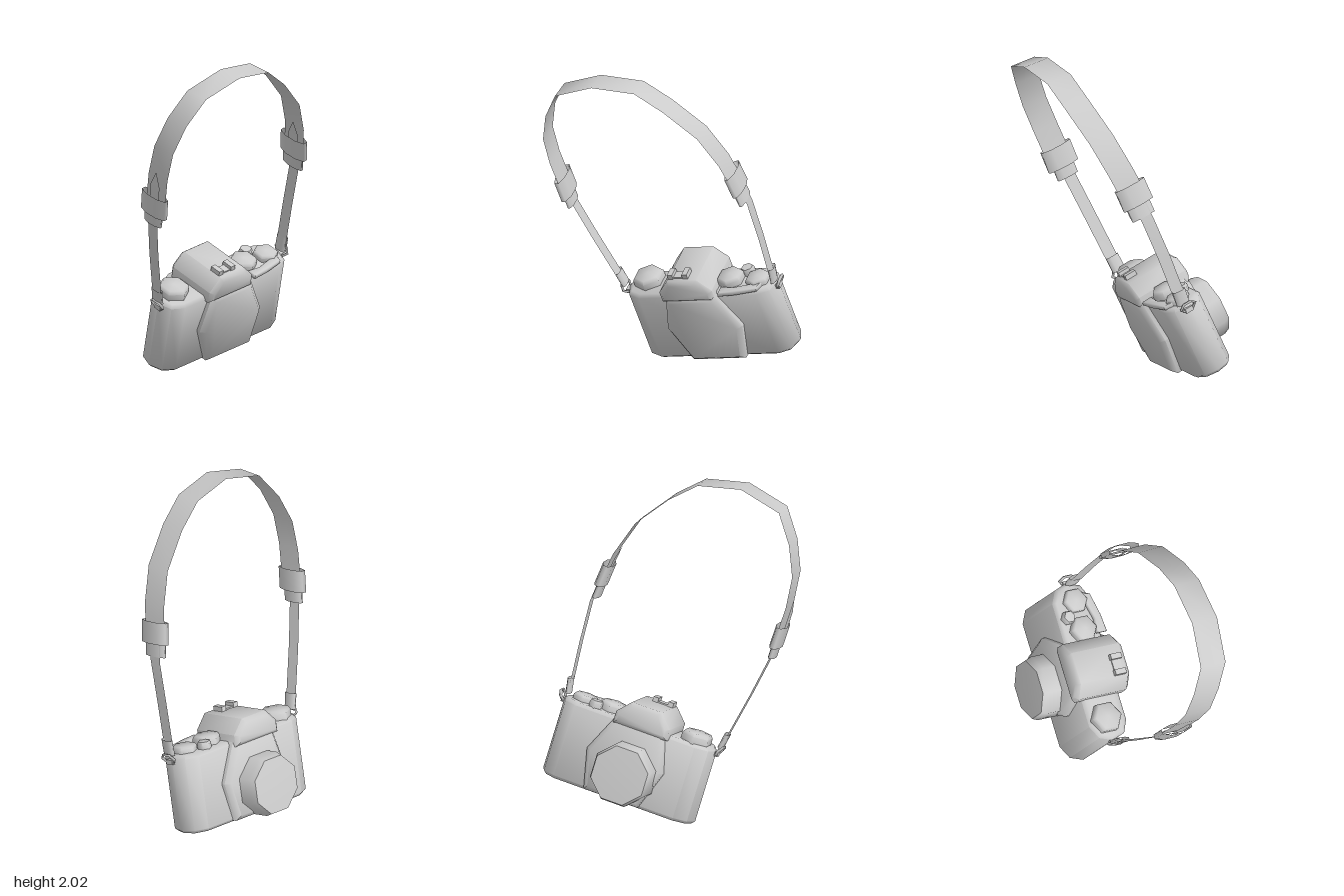
import * as THREE from 'three';
import { toCreasedNormals } from 'three/addons/utils/BufferGeometryUtils.js';

const grey = new THREE.MeshStandardMaterial({ color: 0xcccccc });
const thin = new THREE.MeshStandardMaterial({ color: 0xcccccc, side: THREE.DoubleSide });
const V = (x, y, z) => new THREE.Vector3(x, y, z);
const ACROSS = V(0.95, -0.2, 0.25).normalize(); // width direction of the strap

function add(parent, name, geometry, x = 0, y = 0, z = 0, material = grey) {
  const mesh = new THREE.Mesh(geometry, material);
  mesh.name = name;
  mesh.position.set(x, y, z);
  parent.add(mesh);
  return mesh;
}

// Bevelled prism from a 2D outline
function prism(points, depth, bevel, crease = 0.9) {
  const shape = new THREE.Shape(points.map(([x, y]) => new THREE.Vector2(x, y)));
  const geo = new THREE.ExtrudeGeometry(shape, {
    depth: depth - 2 * bevel, bevelEnabled: true, bevelSegments: 1,
    bevelSize: bevel, bevelThickness: bevel, bevelOffset: -bevel,
  });
  geo.translate(0, 0, bevel);
  return toCreasedNormals(geo, crease);
}

function lathe(profile, sides) {
  return toCreasedNormals(
    new THREE.LatheGeometry(profile.map(([r, h]) => new THREE.Vector2(r, h)), sides), 1.05);
}

// Flat band along a path; each row is x, y, z, width
function ribbon(rows) {
  const pos = [], index = [];
  rows.forEach(([x, y, z, w], i) => {
    for (const s of [-0.5, 0.5]) pos.push(...V(x, y, z).addScaledVector(ACROSS, s * w).toArray());
    const a = 2 * i;
    if (i) index.push(a - 2, a - 1, a, a - 1, a + 1, a);
  });
  const geo = new THREE.BufferGeometry();
  geo.setAttribute('position', new THREE.Float32BufferAttribute(pos, 3));
  geo.setIndex(index);
  geo.computeVertexNormals();
  return geo;
}

// Flattened open sleeve around the strap, running along a direction
function sleeve(parent, name, at, dir, width, height, thickness) {
  const geo = new THREE.CylinderGeometry(1, 1, height, 8, 1, true, Math.PI / 8);
  geo.scale(width / 2, 1, thickness / 2);
  const mesh = add(parent, name, geo, at.x, at.y, at.z, thin);
  const y = dir.clone().normalize();
  const x = ACROSS.clone().addScaledVector(y, -ACROSS.dot(y)).normalize();
  mesh.quaternion.setFromRotationMatrix(new THREE.Matrix4().makeBasis(x, y, x.clone().cross(y)));
}

function makeCamera() {
  // Local frame: x along the body, y up, z toward the back
  const cam = new THREE.Group();
  cam.name = 'camera';
  const mid = 0.23;

  // Body with rounded ends
  const end = [[0.40, 0.41], [0.48, 0.365], [0.51, 0.28], [0.48, 0.19], [0.40, 0.15]];
  const plan = [...end.map(([x, y]) => [mid + x, y]).reverse(),
    ...end.map(([x, y]) => [mid - x, y])];
  const body = prism(plan, 0.5, 0.02);
  body.rotateX(-Math.PI / 2);
  add(cam, 'body', body, 0, -0.06, 0);

  // Bulging middle section, front and back
  add(cam, 'middleSection', prism([[0.06, -0.05], [0.42, -0.05], [0.475, 0.2], [0.36, 0.44],
    [0.03, 0.44], [-0.035, 0.2]], 0.37, 0.03), 0, 0, -0.465);

  // Viewfinder hump
  add(cam, 'viewfinderHump', prism([[0, 0.41], [0.36, 0.41], [0.36, 0.485], [0.28, 0.57],
    [0.08, 0.57], [0, 0.485]], 0.38, 0.025), 0, 0, -0.48);

  // Accessory shoe rails
  for (const x of [0.1, 0.2]) {
    add(cam, 'shoeRail', new THREE.BoxGeometry(0.035, 0.03, 0.075), x, 0.585, -0.18);
  }
  add(cam, 'shoeBase', new THREE.BoxGeometry(0.12, 0.012, 0.06), 0.15, 0.572, -0.18);

  // Lens barrel, octagonal
  const lens = lathe([[0.2, 0], [0.2, 0.2], [0.185, 0.24], [0, 0.25]], 8);
  lens.rotateY(Math.PI / 8);
  lens.rotateX(-Math.PI / 2);
  add(cam, 'lens', lens, 0.19, 0.135, -0.35);

  // Top dials: x, z, radius, height
  for (const [x, z, r, h] of [[-0.14, -0.3, 0.1, 0.065], [0.43, -0.275, 0.088, 0.06],
    [0.615, -0.27, 0.08, 0.045], [0.52, -0.35, 0.044, 0.05]]) {
    add(cam, 'dial', lathe([[r, 0], [r, h * 0.7], [r * 0.85, h], [0, h * 1.05]], 6), x, 0.435, z);
  }

  // Film advance lever
  const lever = prism([[0.39, 0.12], [0.5, 0.13], [0.64, 0.16], [0.66, 0.22], [0.58, 0.205],
    [0.48, 0.18], [0.39, 0.19]], 0.03, 0.006);
  lever.rotateX(-Math.PI / 2);
  add(cam, 'advanceLever', lever, 0, 0.435, 0);

  // Strap rings at both ends
  for (const s of [-1, 1]) {
    const ring = new THREE.TorusGeometry(0.052, 0.01, 4, 6);
    ring.scale(1, 0.7, 1);
    ring.rotateY(Math.PI / 2);
    ring.rotateZ(-s * 0.5);
    add(cam, 'strapRing', ring, mid + s * 0.528, 0.43, -0.27);
    add(cam, 'strapLug', new THREE.BoxGeometry(0.03, 0.03, 0.05), mid + s * 0.51, 0.405, -0.27);
  }

  // Tilt of the whole camera
  const x = V(0.295, 0.178, -0.94).normalize();
  const up = V(0.295, 0.914, 0.271);
  const z = x.clone().cross(up).normalize();
  cam.quaternion.setFromRotationMatrix(new THREE.Matrix4().makeBasis(x, z.clone().cross(x), z));
  return cam;
}

function makeStrap() {
  const strap = new THREE.Group();
  strap.name = 'strap';
  const w = 0.165;

  // Wide shoulder band
  add(strap, 'shoulderBand', ribbon([
    [-0.03, 1.1, 0.67, w], [0.04, 1.35, 0.75, w], [0.10, 1.53, 0.785, w], [0.18, 1.71, 0.76, w],
    [0.28, 1.88, 0.69, w], [0.38, 1.98, 0.45, w], [0.43, 1.97, 0.18, w], [0.44, 1.86, 0, w],
    [0.425, 1.69, -0.21, w], [0.38, 1.5, -0.34, w], [0.335, 1.35, -0.41, w],
    [0.31, 1.23, -0.45, w * 0.9],
  ]), 0, 0, 0, thin);

  // Narrow straps down to the rings
  add(strap, 'narrowStrap', ribbon([[-0.04, 1.12, 0.685, 0.08], [-0.12, 0.8, 0.525, 0.08],
    [-0.2, 0.45, 0.34, 0.08]]), 0, 0, 0, thin);
  add(strap, 'narrowStrap', ribbon([[0.33, 1.35, -0.43, 0.08], [0.29, 1.2, -0.49, 0.08],
    [0.21, 0.95, -0.55, 0.08], [0.12, 0.64, -0.615, 0.08]]), 0, 0, 0, thin);

  // Adjuster sleeves, lower flaps and pointed strap tails
  const nearDir = V(0.06, 0.25, 0.08), farDir = V(0.06, 0.25, 0.1);
  sleeve(strap, 'adjuster', V(-0.02, 1.16, 0.69), nearDir, 0.22, 0.14, 0.07);
  sleeve(strap, 'adjuster', V(0.335, 1.36, -0.41), farDir, 0.22, 0.14, 0.07);
  sleeve(strap, 'adjusterFlap', V(-0.045, 1.065, 0.66), nearDir, 0.15, 0.08, 0.045);
  sleeve(strap, 'adjusterFlap', V(0.31, 1.26, -0.445), farDir, 0.17, 0.09, 0.045);
  add(strap, 'strapTail', ribbon([[-0.01, 1.16, 0.715, 0.08], [0.02, 1.29, 0.755, 0.08],
    [0.04, 1.38, 0.775, 0.005]]), 0, 0, 0, thin);
  add(strap, 'strapTail', ribbon([[0.335, 1.34, -0.4, 0.08], [0.365, 1.45, -0.35, 0.08],
    [0.39, 1.53, -0.305, 0.005]]), 0, 0, 0, thin);

  // Small loops where the strap folds around the rings
  sleeve(strap, 'ringLoop', V(-0.19, 0.5, 0.36), V(0.07, 0.3, 0.15), 0.09, 0.1, 0.035);
  sleeve(strap, 'ringLoop', V(0.13, 0.68, -0.615), V(0.08, 0.3, 0.04), 0.09, 0.1, 0.035);
  return strap;
}

export function createModel() {
  const model = new THREE.Group();
  model.name = 'cameraWithStrap';
  model.add(makeCamera(), makeStrap());
  return model;
}
